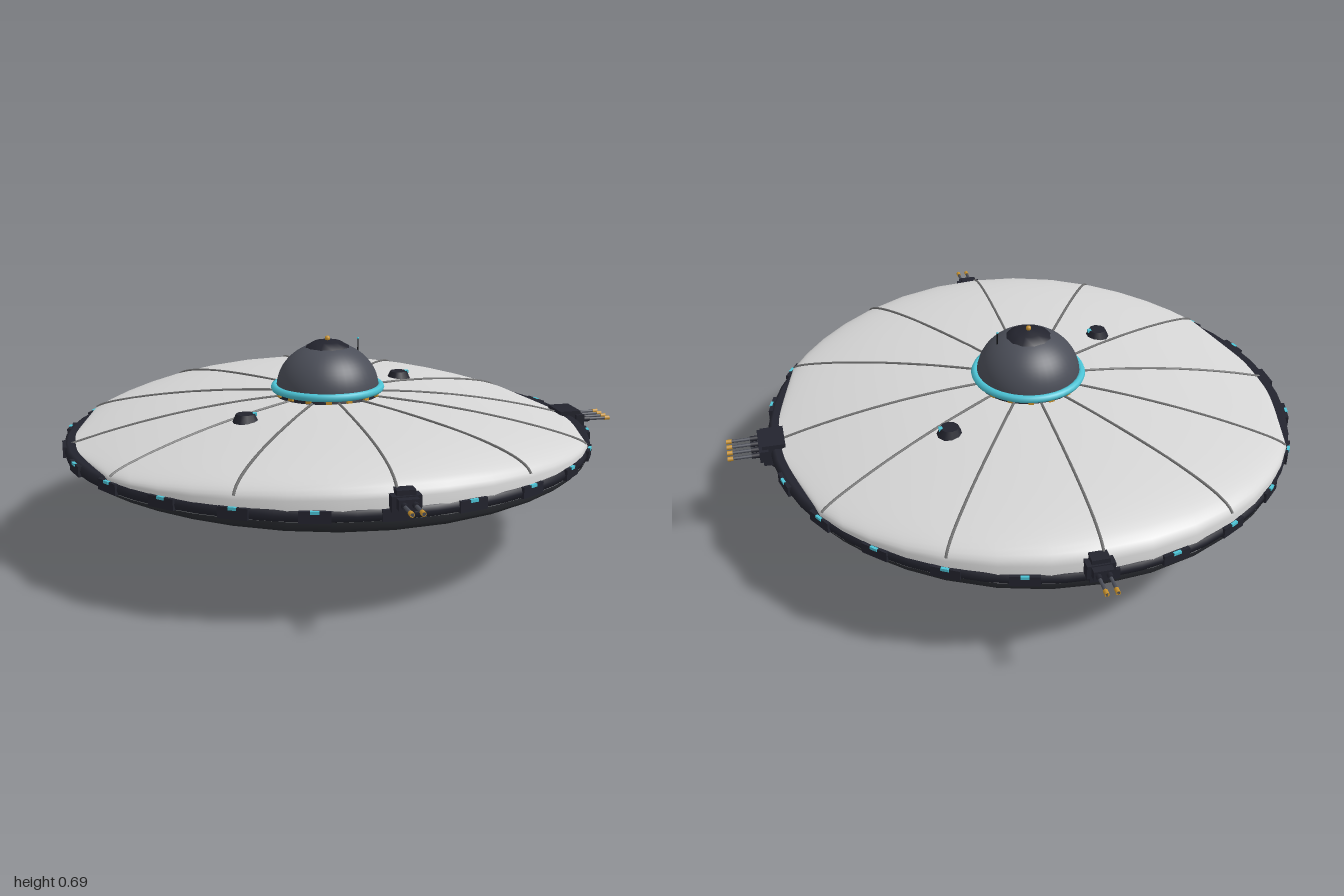
import * as THREE from 'three';

const mat = (name, color) => Object.assign(new THREE.MeshStandardMaterial({ color }), { name });

const R = 0.872, TOP = 0.362, BOTTOM = 0.335;

// Half width and relative height of the hull section at x; the ends taper straight to a point
function section(x) {
  const u = Math.min(1, Math.abs(x) / R), c = 0.866;
  if (u > c) {
    const t = (1 - u) / (1 - c);
    return { w: 0.5 * t * R, h: 0.25 * t };
  }
  return { w: Math.sqrt(1 - u * u) * R, h: 1 - u * u };
}

function hullY(x, z, base, height, p) {
  const { w, h } = section(x);
  const s = w > 1e-5 ? Math.min(1, Math.abs(z) / w) : 1;
  return base + height * h * Math.pow(1 - Math.pow(s, p), 1 / p);
}

// Hull half: superellipse sections lofted along x
function hullGeometry(base, height, p) {
  const angles = [0, 15, 30, 37, 44, 52, 60, 70, 80, 90, 100, 110, 120, 128, 136, 143, 150, 165, 180];
  const pos = [], idx = [], n = 32;
  angles.forEach((deg, i) => {
    const x = -R * Math.cos(deg * Math.PI / 180);
    const { w, h } = section(x);
    for (let j = 0; j <= n; j++) {
      const a = Math.PI * j / n, c = -Math.cos(a);
      const z = j === n / 2 ? 0 : w * Math.sign(c) * Math.pow(Math.abs(c), 2 / p);
      pos.push(x, base + height * h * Math.pow(Math.abs(Math.sin(a)), 2 / p), z);
      if (i < angles.length - 1 && j < n) {
        const k = i * (n + 1) + j, m = k + n + 1;
        if (height > 0) idx.push(k, k + 1, m, m, k + 1, m + 1);
        else idx.push(k, m, k + 1, m, m + 1, k + 1);
      }
    }
  });
  const g = new THREE.BufferGeometry();
  g.setAttribute('position', new THREE.Float32BufferAttribute(pos, 3));
  g.setIndex(idx);
  g.computeVertexNormals();
  return g;
}

export function createModel() {
  const shell = mat('light shell', 0xd6d6d6);
  const dark = mat('dark trim', 0x23242e);
  const under = mat('underside', 0x2a2c31);
  const grey = mat('dome grey', 0x4b4e58);
  const pale = mat('pale plate', 0x70727a);
  const seam = mat('seam grey', 0x707070);
  const teal = mat('teal glow', 0x4cc4d6);
  const gold = mat('gold', 0xc8922e);
  const black = mat('cage black', 0x101114);

  const model = new THREE.Group();
  const ship = new THREE.Group();
  ship.name = 'saucer';
  ship.position.x = -0.069;
  model.add(ship);

  const add = (name, geo, m, x = 0, y = 0, z = 0, parent = ship) => {
    const mesh = new THREE.Mesh(geo, m);
    mesh.name = name;
    mesh.position.set(x, y, z);
    parent.add(mesh);
    return mesh;
  };
  const cyl = (a, b, h, n = 24) => new THREE.CylinderGeometry(a, b, h, n);
  const box = (x, y, z) => new THREE.BoxGeometry(x, y, z);
  const ring = (r, t, n = 48) => new THREE.TorusGeometry(r, t, 8, n).rotateX(Math.PI / 2);
  const lathe = (pts, n) => new THREE.LatheGeometry(pts.map(p => new THREE.Vector2(...p)), n);
  // Group turned so that its local +x points outward at an angle
  const spoke = (name, angle) => {
    const g = new THREE.Group();
    g.name = name;
    g.rotation.y = -angle;
    ship.add(g);
    return g;
  };

  // Hull and rim
  add('upperHull', hullGeometry(TOP, 0.13, 3.6), shell);
  add('lowerHull', hullGeometry(BOTTOM, -0.08, 3.2), under);
  add('rim', lathe([[0.76, 0.335], [0.85, 0.328], [0.873, 0.337], [0.877, 0.352],
    [0.873, 0.367], [0.862, 0.373], [0.76, 0.366]], 48), dark);

  // Radial seams following the upper hull
  for (let k = 0; k < 12; k++) {
    const a = k * Math.PI / 6, pts = [];
    for (let i = 0; i <= 30; i++) {
      const r = 0.17 + 0.697 * Math.sin(i / 30 * Math.PI / 2);
      const x = r * Math.cos(a), z = r * Math.sin(a);
      pts.push(new THREE.Vector3(x, hullY(x, z, TOP, 0.13, 3.6) + 0.001, z));
    }
    add('hullSeam', new THREE.TubeGeometry(new THREE.CatmullRomCurve3(pts), 48, 0.0045, 6), seam);
  }

  // Rim blocks and lights
  for (let k = 0; k < 24; k++) {
    const g = spoke('rimLight', k * Math.PI / 12);
    add('rimBlock', box(0.016, 0.034, 0.09), dark, 0.872, 0.352, 0, g);
    if (k % 6) add('rimLamp', box(0.009, 0.009, 0.025), teal, 0.878, 0.366, 0, g);
  }

  // Dome with collar, cap and antenna
  add('domeCollar', cyl(0.165, 0.175, 0.035, 32), dark, 0, 0.494);
  for (let k = 0; k < 16; k++) {
    const g = spoke('collarLight', (k + 0.5) * Math.PI / 8);
    add('collarLamp', box(0.012, 0.009, 0.018), gold, 0.172, 0.497, 0, g);
  }
  add('domeRing', ring(0.178, 0.013), teal, 0, 0.514);
  add('dome', new THREE.SphereGeometry(0.172, 40, 16, 0, Math.PI * 2, 0, Math.PI / 2).scale(1, 0.88, 1), grey, 0, 0.512);
  add('domeCap', lathe([[0.077, 0.638], [0.074, 0.65], [0.045, 0.667], [0, 0.672]], 12), dark);
  add('domeTip', new THREE.SphereGeometry(0.009, 10, 8), gold, 0, 0.677);
  add('antenna', cyl(0.002, 0.003, 0.07, 6), black, 0.105, 0.638);
  add('antennaTip', new THREE.SphereGeometry(0.004, 6, 4), teal, 0.105, 0.673);

  // Two small pods on the upper hull
  for (const s of [1, -1]) {
    const y = hullY(0.318, 0.245, TOP, 0.13, 3.6);
    add('pod', cyl(0.03, 0.042, 0.026, 10), dark, s * 0.318, y + 0.01, -s * 0.245);
    add('podLamp', box(0.012, 0.01, 0.014), teal, s * 0.318 + 0.029, y + 0.02, -s * 0.245);
  }

  // Barrel with gold muzzle pointing along local +x
  const barrel = (g, start, end, y, z) => {
    const len = end - start;
    add('barrel', cyl(0.0055, 0.0055, len, 8).rotateZ(Math.PI / 2), grey, start + len / 2, y, z, g);
    add('barrelSleeve', cyl(0.009, 0.009, 0.03, 8).rotateZ(Math.PI / 2), dark, start + 0.03, y, z, g);
    add('muzzle', cyl(0.0075, 0.0075, 0.018, 8).rotateZ(Math.PI / 2), gold, end - 0.009, y, z, g);
  };

  // Twin guns at front and back
  for (const s of [1, -1]) {
    const g = spoke('twinGun', s * Math.PI / 2);
    const off = -s * 0.018;
    add('gunBase', box(0.055, 0.045, 0.085), dark, 0.87, 0.388, off, g);
    add('gunTop', box(0.04, 0.018, 0.055), dark, 0.872, 0.416, off, g);
    add('gunMantlet', box(0.03, 0.03, 0.06), dark, 0.905, 0.392, off, g);
    for (const d of [-0.016, 0.016]) barrel(g, 0.89, 1.0, 0.392, off + d);
  }

  // Four-barrelled gun at the left end
  const battery = spoke('quadGun', 0);
  add('batteryBase', box(0.075, 0.075, 0.11), dark, 0.862, 0.35, 0, battery);
  add('batteryFace', box(0.03, 0.04, 0.135), dark, 0.895, 0.355, 0, battery);
  for (let k = 0; k < 4; k++) barrel(battery, 0.89, 1.012, 0.355, -0.05 + k * 0.0335);
  add('batteryMount', cyl(0.063, 0.063, 0.045, 28), dark, 0.822, 0.318, 0, battery);
  add('batteryMountPlate', cyl(0.061, 0.061, 0.004, 28), pale, 0.822, 0.2945, 0, battery);

  // Fins beneath the hull
  for (let k = 0; k < 8; k++) {
    const g = spoke('underFin', (k + 0.5) * Math.PI / 4);
    const fin = add('fin', cyl(0.012, 0.006, 0.18, 6).rotateZ(-Math.PI / 2), grey, 0.51, 0.271, 0, g);
    fin.rotation.z = 0.03;
    add('finLamp', box(0.014, 0.014, 0.018), teal, 0.604, 0.272, 0, g);
  }

  // Saucer-shaped skirt below the hull
  add('skirt', lathe([[0.12, 0.225], [0.15, 0.209], [0.245, 0.205], [0.254, 0.213], [0.25, 0.222],
    [0.2, 0.23], [0.18, 0.262]], 40), grey);
  add('skirtRecess', cyl(0.135, 0.135, 0.03, 32), dark, 0, 0.24);
  add('skirtRing', ring(0.138, 0.009), teal, 0, 0.214);

  // Glowing orb inside three cage hoops
  add('orb', new THREE.SphereGeometry(0.102, 32, 20), teal, 0, 0.146);
  const hoop = () => new THREE.TorusGeometry(0.136, 0.0045, 6, 40);
  add('cageHoop', hoop(), black, 0, 0.141);
  add('cageHoop', hoop().rotateY(Math.PI / 2), black, 0, 0.141);
  add('cageHoop', hoop().rotateX(Math.PI / 2), black, 0, 0.141);

  return model;
}
